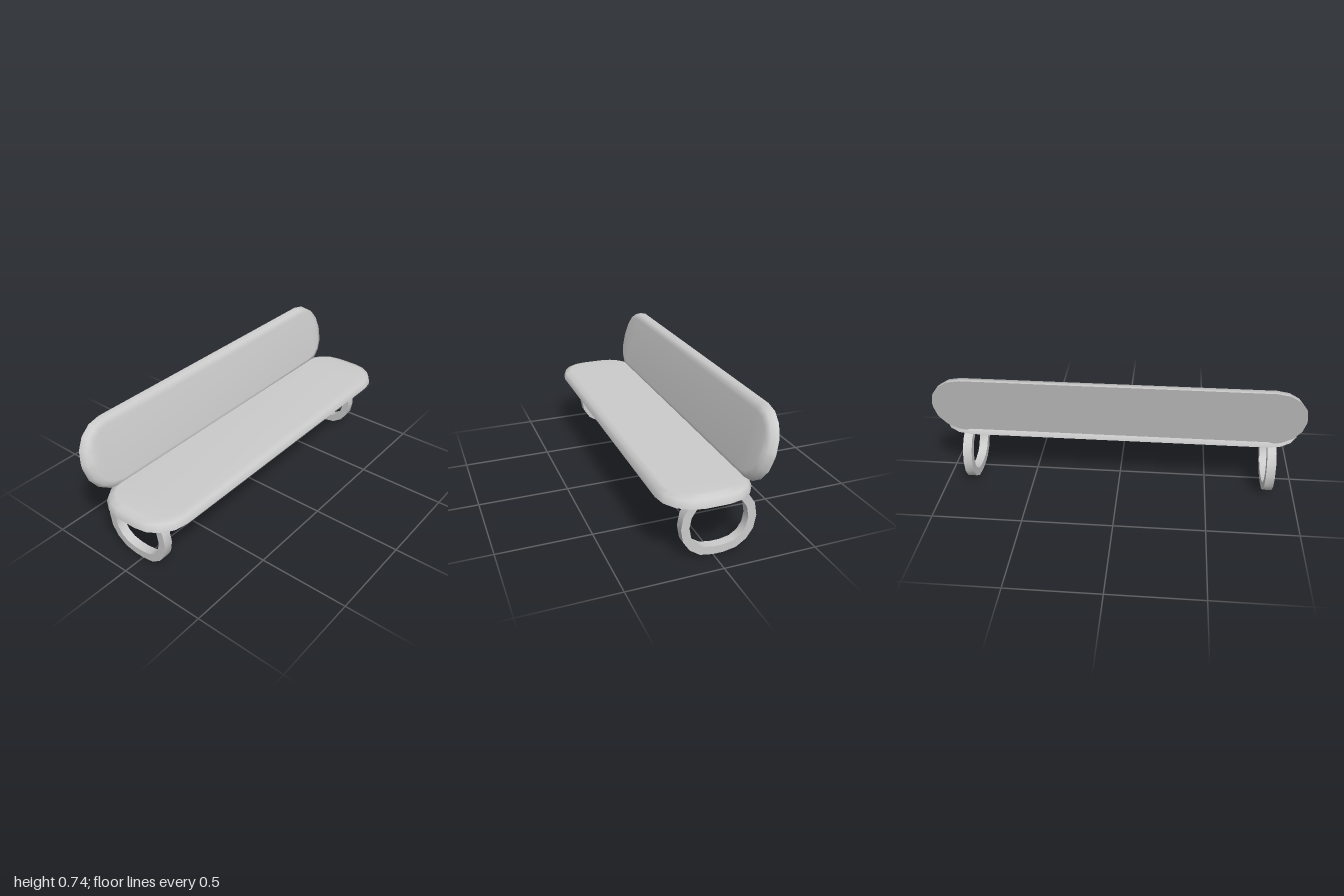
import * as THREE from 'three';
import { toCreasedNormals } from 'three/addons/utils/BufferGeometryUtils.js';

const material = new THREE.MeshStandardMaterial({ color: 0xcccccc });

// Rounded rectangle outline, counter-clockwise, shrunk by inset
function outline(halfW, halfD, radius, inset, segments = 4) {
  const points = [];
  const r = radius - inset;
  [[1, 1], [-1, 1], [-1, -1], [1, -1]].forEach(([sx, sy], corner) => {
    for (let i = 0; i <= segments; i++) {
      const a = (corner + i / segments) * Math.PI / 2;
      points.push([sx * (halfW - radius) + r * Math.cos(a), sy * (halfD - radius) + r * Math.sin(a)]);
    }
  });
  return points;
}

// Slab in the xy plane: flat rear at z = 0, softly rounded rim towards +z
function cushion(halfW, halfD, radius) {
  const profile = [[0, 0], [0.002, 0.01], [0.013, 0.038], [0.045, 0.05]]; // inset, height
  const positions = [], index = [];
  let n = 0;
  for (const [inset, z] of profile) {
    const ring = outline(halfW, halfD, radius, inset);
    n = ring.length;
    ring.forEach(([x, y]) => positions.push(x, y, z));
  }
  for (let k = 0; k < profile.length - 1; k++) {
    for (let i = 0; i < n; i++) {
      const a = k * n + i, b = k * n + (i + 1) % n;
      index.push(a, b, b + n, a, b + n, a + n);
    }
  }
  // Front cap shares the rim vertices, the rear cap has its own for a sharp edge
  const front = (profile.length - 1) * n, rear = profile.length * n;
  outline(halfW, halfD, radius, 0).forEach(([x, y]) => positions.push(x, y, 0));
  for (let i = 0; i < n / 2 - 1; i++) {
    // Strips running across the slab, from the right half to the left half
    const a = i, b = i + 1, c = n - 2 - i, d = n - 1 - i;
    for (const [p, q, r] of [[a, b, c], [a, c, d]]) {
      if (p === q || q === r || p === r) continue;
      index.push(front + p, front + q, front + r, rear + p, rear + r, rear + q);
    }
  }
  const geometry = new THREE.BufferGeometry();
  geometry.setAttribute('position', new THREE.Float32BufferAttribute(positions, 3));
  geometry.setIndex(index);
  geometry.computeVertexNormals();
  return geometry;
}

// Flattened ring contour from one quarter, mirrored around
function ringContour(quarter) {
  const top = [...quarter, ...quarter.slice(1).reverse().map(([x, y]) => [-x, y])];
  const half = [...top, [-quarter[0][0], 0]];
  return [...half, ...half.slice(1, -1).reverse().map(([x, y]) => [x, -y])]
    .map(([x, y]) => new THREE.Vector2(x, y));
}

function ringLeg() {
  const shape = new THREE.Shape(ringContour([[0.2, 0], [0.188, 0.07], [0.152, 0.125], [0.096, 0.163], [0.027, 0.175]]));
  shape.holes.push(new THREE.Path(ringContour([[0.156, 0], [0.146, 0.055], [0.12, 0.095], [0.08, 0.121], [0.027, 0.131]])));
  const geometry = new THREE.ExtrudeGeometry(shape, { depth: 0.05, bevelEnabled: false });
  geometry.translate(0, 0, -0.025);
  geometry.rotateY(Math.PI / 2);
  return toCreasedNormals(geometry, 0.7);
}

export function createModel() {
  const group = new THREE.Group();
  const add = (name, geometry, x, y, z) => {
    const mesh = new THREE.Mesh(geometry, material);
    mesh.name = name;
    mesh.position.set(x, y, z);
    group.add(mesh);
    return mesh;
  };

  // Seat, lying flat with its rounded rim upwards
  add('seat', cushion(1, 0.24, 0.18), 0, 0.35, 0.045).rotation.x = -Math.PI / 2;

  // Backrest, leaning backwards
  add('backrest', cushion(1, 0.193, 0.18), 0, 0.55, -0.232).rotation.x = -THREE.MathUtils.degToRad(15.2);

  // Ring-shaped legs
  const leg = ringLeg();
  add('leftLeg', leg, 0.85, 0.175, -0.027);
  add('rightLeg', leg, -0.85, 0.175, -0.027);

  return group;
}
